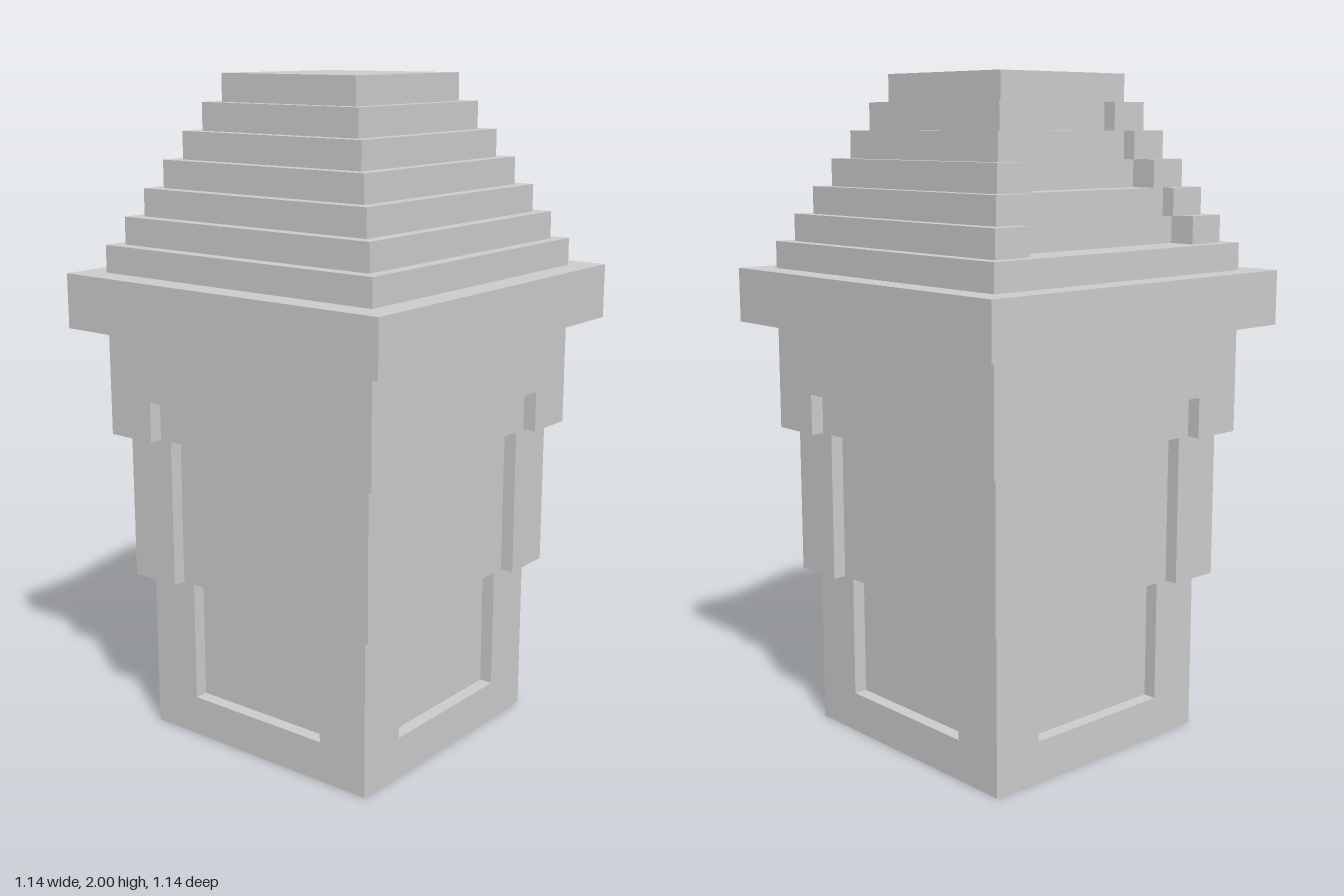
import * as THREE from 'three';

const U = 2 / 49; // one grid step of the blocky design

export function createModel() {
  const group = new THREE.Group();
  const material = new THREE.MeshStandardMaterial({ color: 0xcccccc, flatShading: true });

  // Square plan with a centred notch in each side.
  // depths: notch depth on the sides -z, +x, +z, -x
  function plan(half, open, depths) {
    const points = [];
    depths.forEach((d, i) => {
      const a = (i * Math.PI) / 2;
      const side = [[-half, -half]];
      if (d > 0) side.push([-open, -half], [-open, -half + d], [open, -half + d], [open, -half]);
      for (const [x, y] of side) {
        points.push(new THREE.Vector2(
          (x * Math.cos(a) - y * Math.sin(a)) * U,
          (x * Math.sin(a) + y * Math.cos(a)) * U));
      }
    });
    return new THREE.Shape(points);
  }

  // Stand a plan up between two heights
  function layer(name, y0, y1, half, open = 0, depths = [0, 0, 0, 0]) {
    const geo = new THREE.ExtrudeGeometry(plan(half, open, depths), {
      depth: (y1 - y0) * U, bevelEnabled: false,
    });
    geo.rotateX(-Math.PI / 2);
    geo.translate(0, y0 * U, 0);
    const mesh = new THREE.Mesh(geo, material);
    mesh.name = name;
    group.add(mesh);
  }

  const allSides = [1, 1, 1, 1];

  // Shaft: each storey steps out and has a recessed panel on every side
  layer('basePlinth', 0, 3, 10);
  layer('lowerPanels', 3, 12, 10, 6, allSides);
  layer('middlePanels', 12, 23, 11, 7, allSides);
  layer('upperNotches', 23, 26, 12, 8, allSides);
  layer('upperBand', 26, 31, 12);
  layer('cornice', 31, 35, 14);

  // Stepped roof, its -x side cut back between the corners
  const cutDepths = [0, 2, 1, 2, 1, 1, 0];
  cutDepths.forEach((d, i) => {
    const half = 12 - i;
    layer('roofTier' + (i + 1), 35 + 2 * i, 37 + 2 * i, half, half - 3, [0, 0, 0, d]);
  });

  return group;
}
